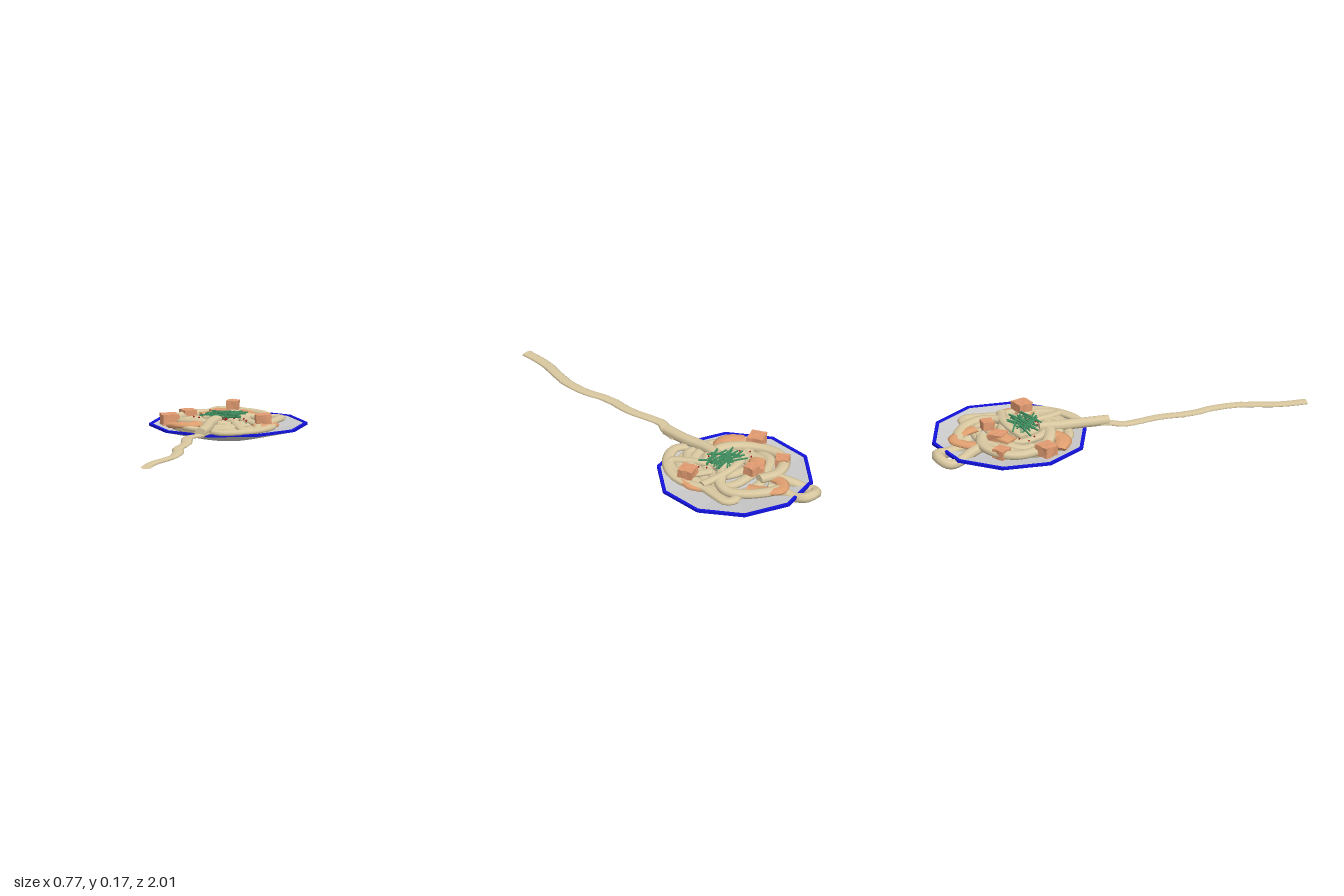
import * as THREE from 'three';

const CZ = -0.56; // plate centre
const mat = (color, flat = false) =>
  new THREE.MeshStandardMaterial({ color, flatShading: flat, side: THREE.DoubleSide });
const grey = mat(0xcccccc, true), blue = mat(0x1212dd, true), dough = mat(0xd9c8a0);
const meat = mat(0xe09a70, true), shrimp = mat(0xe0a070), green = mat(0x3f8f60, true), red = mat(0xa01818, true);

let seed = 7;
const rand = (a, b) => {
  seed = (seed * 16807) % 2147483647;
  return a + (b - a) * seed / 2147483647;
};

function add(parent, name, geometry, material, x = 0, y = 0, z = 0) {
  const m = new THREE.Mesh(geometry, material);
  m.name = name;
  m.position.set(x, y, z);
  parent.add(m);
  return m;
}

// Capped tube through [x, y, z] points, squashed in height by f
function strand(parent, name, pts, r, f, material = dough, closed = false) {
  const g = new THREE.Group();
  g.name = name;
  g.scale.y = f;
  const curve = new THREE.CatmullRomCurve3(pts.map(([x, y, z]) => new THREE.Vector3(x, y / f, z)), closed);
  add(g, name + 'Body', new THREE.TubeGeometry(curve, pts.length * 5, r, 8, closed), material);
  if (!closed) for (const t of [0, 1]) {
    const p = curve.getPoint(t), d = curve.getTangent(t).multiplyScalar(t ? 1 : -1);
    add(g, name + 'End', new THREE.CircleGeometry(r, 8), material, p.x, p.y, p.z).lookAt(p.clone().add(d));
  }
  parent.add(g);
}

// Ten-sided plate: underside, rim, inside, and the coloured patch under the back
function plate(root) {
  const g = new THREE.Group();
  g.name = 'plate';
  g.position.z = CZ;
  const lathe = (name, pts, m, seg = 10, start = 0, len = Math.PI * 2) =>
    add(g, name, new THREE.LatheGeometry(pts.map(p => new THREE.Vector2(...p)), seg, start, len), m);
  lathe('plateUnderside', [[0, 0], [0.15, 0], [0.403, 0.06]], grey);
  lathe('plateInside', [[0.39, 0.068], [0.15, 0.025], [0, 0.025]], grey);
  lathe('plateRim', [[0.395, 0.06], [0.406, 0.06], [0.406, 0.072], [0.388, 0.072], [0.386, 0.064]], blue);
  lathe('plateBackPatch', [[0.3, 0.033], [0.406, 0.058]], blue, 4, Math.PI * 0.6, Math.PI * 0.8);
  root.add(g);
}

// Slightly irregular cube
function cube(root, x, y, z, w, h, turn) {
  const geo = new THREE.BoxGeometry(w, h, w, 3, 3, 3), p = geo.attributes.position;
  for (let i = 0; i < p.count; i++) {
    const a = p.getX(i) * 91, b = p.getY(i) * 127, c = p.getZ(i) * 73;
    const k = 1 + 0.07 * Math.sin(a * 2 + b * 3 + c * 5);
    p.setXYZ(i, p.getX(i) * k, p.getY(i) * (1 + 0.08 * Math.sin(a + c * 2)), p.getZ(i) * k);
  }
  add(root, 'meatCube', geo, meat, x, y, z).rotation.y = turn;
}

export function createModel() {
  const root = new THREE.Group();
  root.name = 'noodlePlate';
  plate(root);

  // Long noodle trailing to the front, in three joined lengths
  strand(root, 'liftedNoodle', [[-0.02, 0.11, -0.41], [-0.025, 0.107, -0.3], [-0.01, 0.102, -0.18], [-0.004, 0.1, -0.04]], 0.031, 0.85);
  const y = 0.087;
  [
    [[0.0, y, -0.12], [-0.012, y, -0.04], [-0.043, y, 0.03], [-0.03, y, 0.12], [-0.01, y, 0.2], [-0.003, y, 0.27], [-0.006, y, 0.355]],
    [[-0.003, y, 0.35], [0.005, y, 0.42], [0.03, y, 0.5], [0.042, y, 0.59], [0.041, y, 0.68]],
    [[0.038, y, 0.67], [0.025, y, 0.74], [0.003, y, 0.83], [-0.004, y, 0.91], [-0.002, y, 1]],
  ].forEach(p => strand(root, 'trailingNoodle', p, 0.03, 0.28));

  // Loop hanging over the back of the plate
  strand(root, 'backLoop', [[-0.1, 0.08, -0.7], [-0.15, 0.068, -0.79], [-0.2, 0.042, -0.88], [-0.215, 0.042, -0.93],
    [-0.17, 0.06, -0.97], [-0.115, 0.06, -0.965], [-0.09, 0.05, -0.91], [-0.07, 0.06, -0.84], [-0.02, 0.08, -0.78]], 0.03, 0.85);

  // Large noodles on top of the heap
  strand(root, 'backArcNoodle', [[-0.06, 0.08, -0.84], [0.03, 0.088, -0.82], [0.12, 0.09, -0.76], [0.165, 0.09, -0.68],
    [0.15, 0.095, -0.61], [0.08, 0.105, -0.55], [-0.01, 0.11, -0.5]], 0.032, 0.65);
  strand(root, 'leftArcNoodle', [[-0.03, 0.095, -0.71], [-0.13, 0.09, -0.73], [-0.22, 0.088, -0.69], [-0.275, 0.085, -0.6],
    [-0.26, 0.085, -0.5], [-0.2, 0.09, -0.42], [-0.1, 0.1, -0.37], [0, 0.1, -0.36]], 0.033, 0.65);
  strand(root, 'rightArcNoodle', [[0.12, 0.075, -0.68], [0.18, 0.08, -0.755], [0.225, 0.08, -0.74], [0.225, 0.08, -0.64], [0.22, 0.08, -0.56],
    [0.255, 0.08, -0.46], [0.245, 0.08, -0.35], [0.17, 0.08, -0.24], [0.07, 0.08, -0.185], [0.01, 0.08, -0.21]], 0.03, 0.5);
  strand(root, 'crossNoodle', [[-0.12, 0.105, -0.51], [0, 0.115, -0.56], [0.1, 0.11, -0.57], [0.22, 0.095, -0.55]], 0.026, 0.6);
  strand(root, 'frontCurlNoodle', [[0.01, 0.09, -0.47], [0.07, 0.1, -0.42], [0.11, 0.095, -0.34], [0.17, 0.085, -0.26], [0.21, 0.08, -0.33],
    [0.19, 0.09, -0.43], [0.1, 0.1, -0.5]], 0.025, 0.6);
  strand(root, 'frontLeftNoodle', [[-0.18, 0.08, -0.5], [-0.2, 0.08, -0.36], [-0.12, 0.08, -0.28], [-0.03, 0.08, -0.26],
    [0.06, 0.085, -0.27], [0.13, 0.09, -0.38]], 0.026, 0.55);

  // Rings filling the heap underneath
  [[0.22, 0.068, 0], [0.165, 0.08, 1], [0.11, 0.09, 2], [0.05, 0.095, 3]].forEach(([r, h, k]) => {
    const pts = [];
    for (let i = 0; i < 10; i++) {
      const a = i * Math.PI / 5, q = r * (1 + 0.1 * Math.sin(3 * a + k));
      pts.push([q * Math.sin(a) - 0.01, h + 0.008 * Math.sin(2 * a + k), -0.49 + q * 1.05 * Math.cos(a)]);
    }
    strand(root, 'heapNoodle', pts, 0.03, 0.55, dough, true);
  });

  // Orange curved slices
  strand(root, 'backSlice', [[-0.1, 0.08, -0.72], [-0.1, 0.085, -0.8], [-0.04, 0.09, -0.86], [0.03, 0.09, -0.8], [0.07, 0.09, -0.73]], 0.035, 0.4, shrimp);
  strand(root, 'rightSlice', [[0.22, 0.075, -0.56], [0.255, 0.08, -0.5], [0.23, 0.085, -0.42], [0.18, 0.085, -0.39]], 0.032, 0.4, shrimp);
  strand(root, 'leftSlice', [[-0.24, 0.08, -0.36], [-0.18, 0.09, -0.32], [-0.12, 0.092, -0.33], [-0.09, 0.1, -0.39]], 0.045, 0.35, shrimp);
  strand(root, 'middleSlice', [[-0.14, 0.1, -0.58], [-0.09, 0.105, -0.62], [-0.03, 0.105, -0.62]], 0.045, 0.35, shrimp);

  // Meat cubes
  cube(root, -0.277, 0.1, -0.43, 0.085, 0.055, 0.5);
  cube(root, 0.218, 0.123, -0.44, 0.08, 0.045, 0.35);
  cube(root, -0.007, 0.147, -0.68, 0.06, 0.045, 0.1);
  cube(root, -0.24, 0.09, -0.66, 0.07, 0.05, 0.7);
  cube(root, -0.07, 0.105, -0.64, 0.08, 0.04, 0.9);

  // Green shreds scattered over the middle
  for (let i = 0; i < 34; i++) {
    const shred = add(root, 'greenShred', new THREE.BoxGeometry(rand(0.08, 0.17), 0.006, 0.007), green,
      rand(-0.06, 0.06), rand(0.119, 0.138), rand(-0.54, -0.43));
    shred.rotation.set(0, rand(-0.9, 0.9), rand(-0.05, 0.14));
  }

  // Red pepper flakes
  for (let i = 0; i < 14; i++) {
    const a = rand(0, 6.28), r = rand(0.05, 0.18);
    add(root, 'pepperFlake', new THREE.OctahedronGeometry(0.006), red, r * Math.sin(a), 0.122 - r * 0.1, -0.47 + r * Math.cos(a));
  }
  return root;
}
